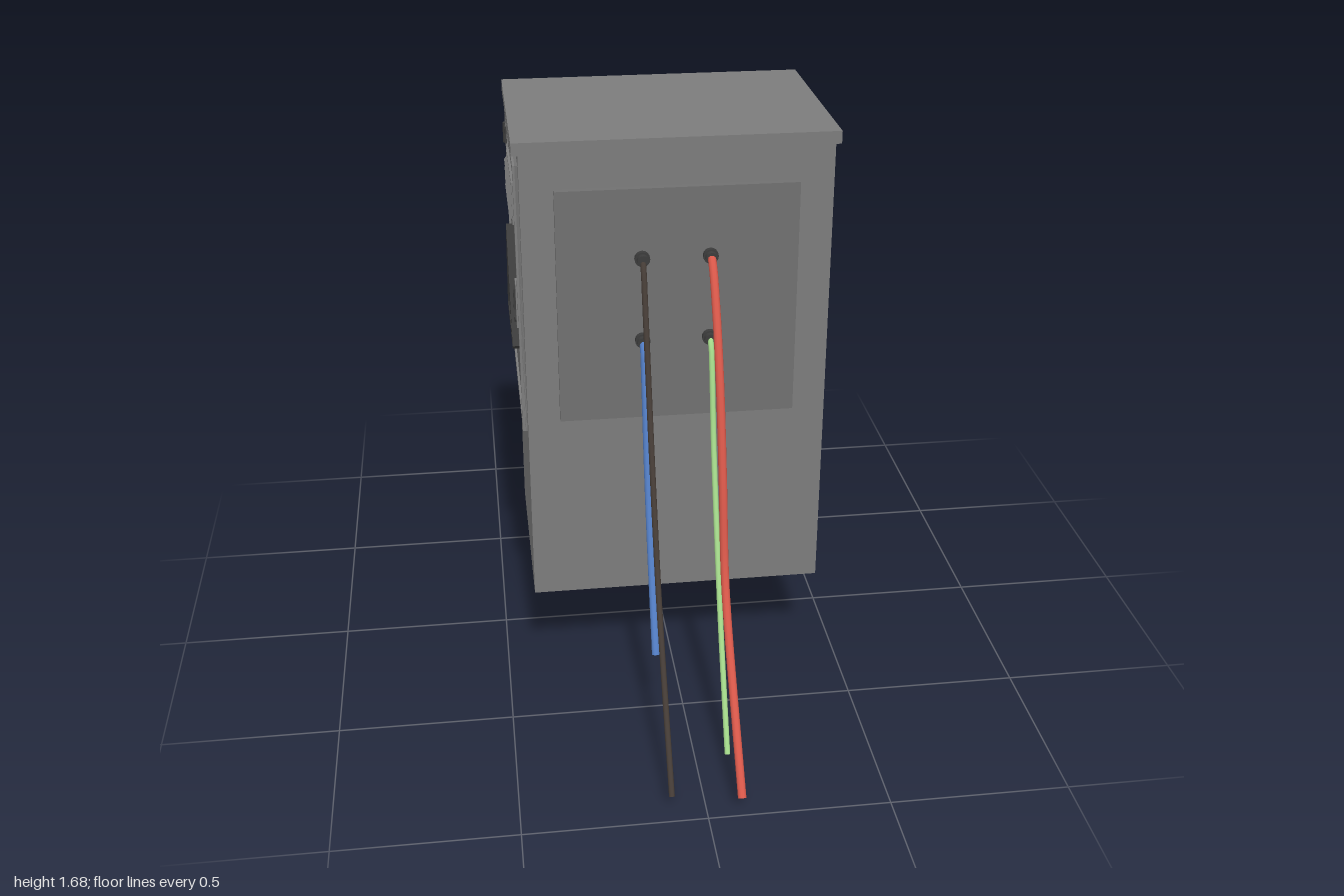
import * as THREE from 'three';

const paint = (color) => new THREE.MeshStandardMaterial({ color });
const GREY = paint(0x7c7c7c), PANEL = paint(0x707070), DARK = paint(0x3c3c3c), YELLOW = paint(0xb09a22);
const RED = paint(0xd9584a), GREEN = paint(0xa6dc8c), BLUE = paint(0x5480c8), BLACK = paint(0x453c36);

function add(parent, name, geometry, material, x = 0, y = 0, z = 0) {
  const mesh = new THREE.Mesh(geometry, material);
  mesh.name = name;
  mesh.position.set(x, y, z);
  parent.add(mesh);
  return mesh;
}

function box(parent, name, material, w, h, d, x, y, z) {
  return add(parent, name, new THREE.BoxGeometry(w, h, d), material, x, y, z);
}

function plate(points, depth, hole) {
  const shape = new THREE.Shape(points.map(([x, y]) => new THREE.Vector2(x, y)));
  if (hole) shape.holes.push(new THREE.Path(hole.map(([x, y]) => new THREE.Vector2(x, y))));
  return new THREE.ExtrudeGeometry(shape, { depth, bevelEnabled: false });
}

const rect = (w, h) => [[-w / 2, -h / 2], [w / 2, -h / 2], [w / 2, h / 2], [-w / 2, h / 2]];

// Cable routes as [outward, height], mirrored in z for the back by side = -1
const ROUTES = {
  upperThick: { x: 0.093, r: 0.0115, pts: [[0.31, 1.355], [0.35, 1.353], [0.43, 1.24], [0.51, 1.06], [0.585, 0.8], [0.64, 0.56], [0.705, 0.43], [0.985, 0.055]] },
  upperThin: { x: -0.093, r: 0.008, pts: [[0.31, 1.355], [0.345, 1.35], [0.39, 1.24], [0.5, 0.93], [0.61, 0.65], [0.7, 0.46], [0.955, 0.055]] },
  lowerThin: { x: 0.093, r: 0.008, pts: [[0.31, 1.115], [0.35, 1.11], [0.375, 1.04], [0.42, 0.84], [0.505, 0.58], [0.6, 0.33], [0.747, 0.012]] },
  lowerThick: { x: -0.093, r: 0.011, pts: [[0.31, 1.115], [0.35, 1.11], [0.375, 1.03], [0.43, 0.78], [0.5, 0.55], [0.607, 0.27]] },
};

function addCable(parent, name, { x, r, pts }, side, material) {
  const curve = new THREE.CatmullRomCurve3(pts.map(([z, y]) => new THREE.Vector3(x, y, z * side)));
  add(parent, name, new THREE.TubeGeometry(curve, 36, r, 10), material);
  const end = curve.getPoint(1);
  const cap = add(parent, name + 'End', new THREE.CircleGeometry(r, 10), material, end.x, end.y, end.z);
  cap.quaternion.setFromUnitVectors(new THREE.Vector3(0, 0, 1), curve.getTangent(1));
}

// Cable panel with four grommets and four hanging cables
function cablePanel(side, name, colors) {
  const group = new THREE.Group();
  group.name = name;
  box(group, 'cablePanel', PANEL, 0.66, 0.675, 0.02, 0.005, 1.213, side * 0.308);
  for (const x of [-0.093, 0.093]) {
    for (const y of [1.355, 1.115]) {
      const flange = add(group, 'grommetFlange', new THREE.CylinderGeometry(0.021, 0.021, 0.014, 16), DARK, x, y, side * 0.325);
      const collar = add(group, 'grommetCollar', new THREE.CylinderGeometry(0.016, 0.016, 0.024, 16), DARK, x, y, side * 0.334);
      flange.rotation.x = collar.rotation.x = Math.PI / 2;
    }
  }
  Object.keys(ROUTES).forEach((key, i) => addCable(group, key + 'Cable', ROUTES[key], side, colors[i]));
  return group;
}

// Door built facing local +z, then turned to the cabinet's right side
function sideDoor() {
  const door = new THREE.Group();
  door.name = 'sideDoor';
  box(door, 'doorLeaf', PANEL, 0.53, 0.785, 0.008, 0, 1.217, 0.004);
  add(door, 'doorRim', plate(rect(0.53, 0.785), 0.014, rect(0.48, 0.735)), GREY, 0, 1.217, 0);

  // Ventilation louvre with sloping slats
  add(door, 'ventFrame', plate(rect(0.32, 0.12), 0.014, rect(0.3, 0.1)), GREY, 0.01, 1.47, 0.002);
  for (let i = 0; i < 4; i++) {
    const slat = box(door, 'ventSlat', GREY, 0.3, 0.026, 0.004, 0.01, 1.433 + i * 0.025, 0.014);
    slat.rotation.x = -0.7;
  }

  // Hinges
  for (const y of [0.9, 1.54]) {
    box(door, 'hingeLeaf', DARK, 0.03, 0.05, 0.006, -0.25, y, 0.014);
    add(door, 'hingePin', new THREE.CylinderGeometry(0.009, 0.009, 0.06, 12), DARK, -0.265, y, 0.012);
  }

  // Lock
  box(door, 'lockPlate', GREY, 0.045, 0.13, 0.012, 0.22, 1.2, 0.012);
  box(door, 'lockHandle', DARK, 0.02, 0.06, 0.008, 0.22, 1.215, 0.02);
  const keyhole = add(door, 'lockCylinder', new THREE.CylinderGeometry(0.009, 0.009, 0.008, 12), DARK, 0.22, 1.155, 0.02);
  keyhole.rotation.x = Math.PI / 2;

  // Triangular warning plate with a lightning bolt
  const sign = new THREE.Group();
  sign.name = 'warningSign';
  sign.position.set(-0.01, 1.03, 0.008);
  const outer = [[-0.17, 0.012], [-0.16, 0], [0.16, 0], [0.17, 0.012], [0.01, 0.315], [-0.01, 0.315]];
  const inner = [[-0.133, 0.024], [0.133, 0.024], [0, 0.278]];
  add(sign, 'signBorder', plate(outer, 0.022, inner), DARK);
  add(sign, 'signFace', plate(inner, 0.018), YELLOW);
  const bolt = [[0.012, 0.215], [-0.034, 0.125], [-0.002, 0.132], [-0.012, 0.075], [-0.026, 0.08],
    [0.002, 0.04], [0.018, 0.088], [0.005, 0.082], [0.034, 0.162], [0.002, 0.152], [0.03, 0.215]];
  add(sign, 'signBolt', plate(bolt, 0.021), DARK);
  door.add(sign);

  door.rotation.y = -Math.PI / 2;
  door.position.x = -0.415;
  return door;
}

export function createModel() {
  const model = new THREE.Group();
  model.name = 'electricalCabinet';

  // Cabinet and overhanging lid
  box(model, 'cabinetBody', GREY, 0.845, 1.35, 0.6, 0.0075, 0.977, 0);
  box(model, 'lid', GREY, 0.875, 0.035, 0.625, 0.005, 1.668, 0);

  // Colours follow the order of the cable routes
  model.add(cablePanel(1, 'frontCables', [RED, BLACK, GREEN, BLUE]));
  model.add(cablePanel(-1, 'backCables', [GREEN, RED, BLUE, BLACK]));
  model.add(sideDoor());
  return model;
}
